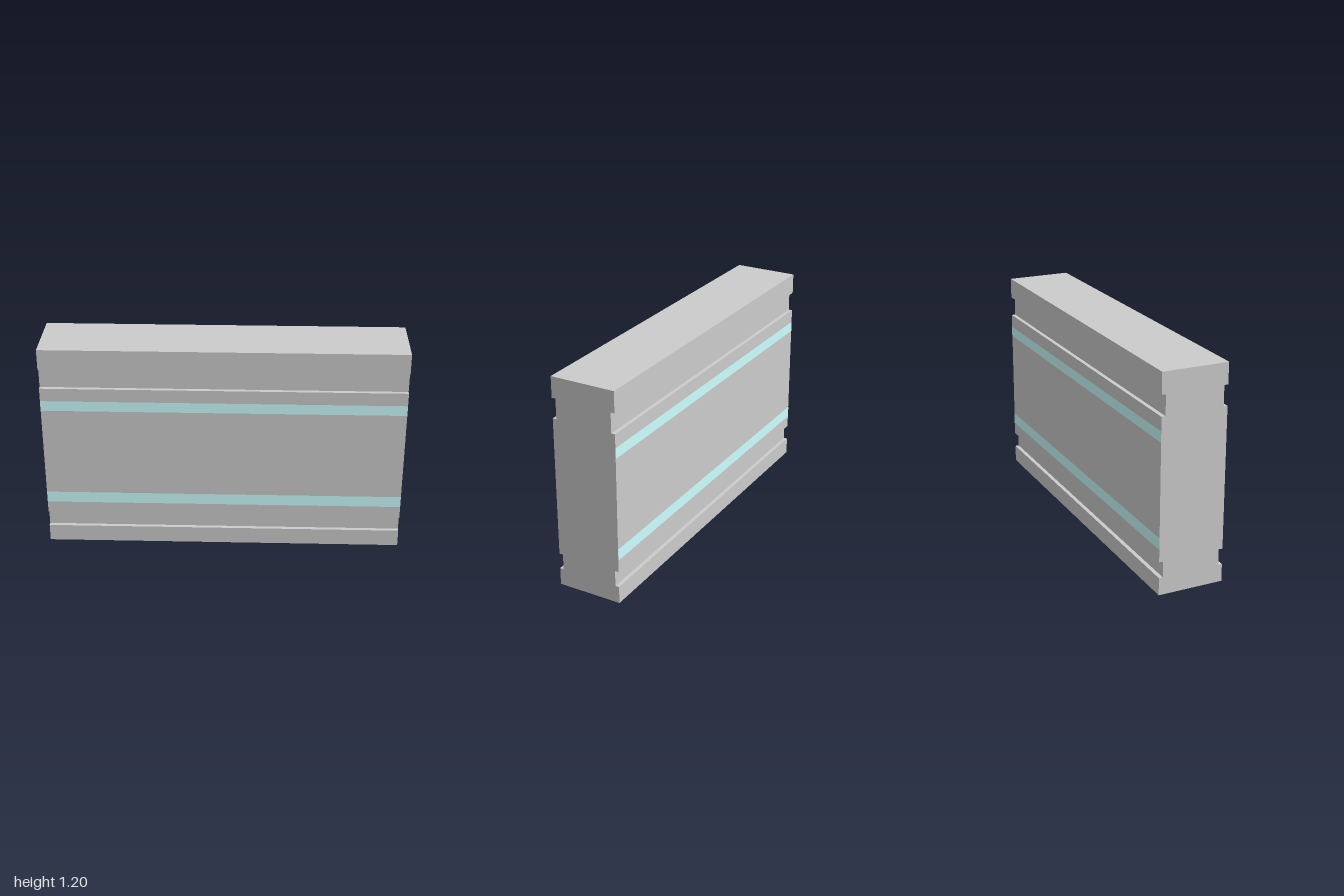
import * as THREE from 'three';

const LENGTH = 2, HEIGHT = 1.2, HALF = 0.184, INNER = 0.162;
const GROOVES = [[0.098, 0.187], [0.971, 1.083]];
const STRIPES = [[0.257, 0.322], [0.837, 0.896]];

export function createModel() {
  const model = new THREE.Group();
  model.name = 'groovedPanel';

  // Slab: mirrored cross-section (z, y) with two grooves per face, swept along x
  const side = [[HALF, 0]];
  for (const [low, high] of GROOVES) {
    side.push([HALF, low], [INNER, low], [INNER, high], [HALF, high]);
  }
  side.push([HALF, HEIGHT]);
  const mirrored = side.map(([z, y]) => [-z, y]).reverse();
  const section = new THREE.Shape([...side, ...mirrored].map(([z, y]) => new THREE.Vector2(z, y)));
  const slabGeometry = new THREE.ExtrudeGeometry(section, { depth: LENGTH, bevelEnabled: false });
  slabGeometry.translate(0, 0, -LENGTH / 2).rotateY(-Math.PI / 2);
  const slab = new THREE.Mesh(slabGeometry, new THREE.MeshStandardMaterial({ color: 0xcccccc }));
  slab.name = 'slab';
  model.add(slab);

  // Coloured stripes lying on the front and back faces
  const stripeMaterial = new THREE.MeshStandardMaterial({ color: 0xccffff });
  for (const [low, high] of STRIPES) {
    for (const facing of [1, -1]) {
      const stripe = new THREE.Mesh(new THREE.PlaneGeometry(LENGTH, high - low), stripeMaterial);
      stripe.position.set(0, (low + high) / 2, facing * (HALF + 0.001));
      if (facing < 0) stripe.rotation.y = Math.PI;
      stripe.name = facing > 0 ? 'frontStripe' : 'backStripe';
      model.add(stripe);
    }
  }
  return model;
}
